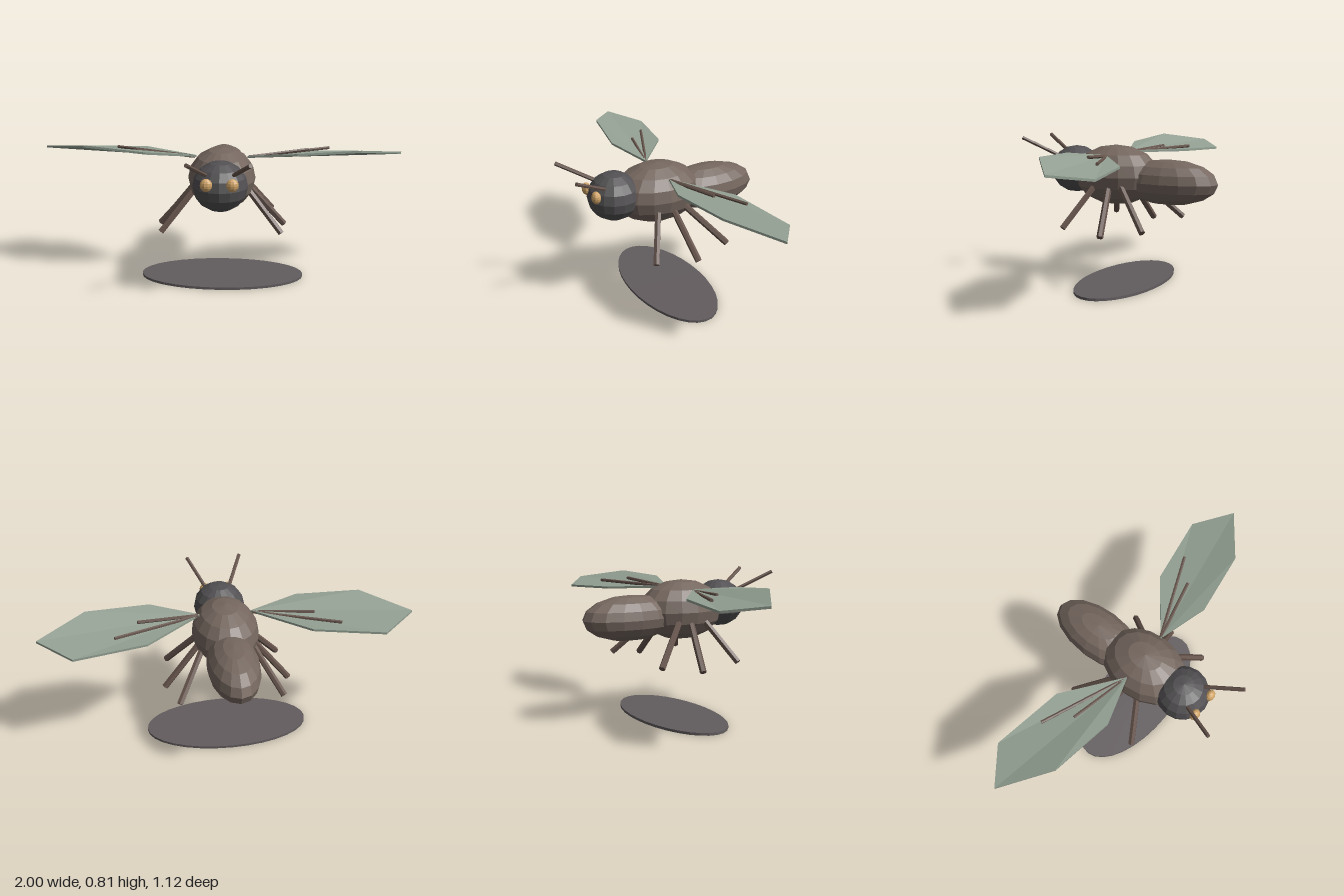
import * as THREE from 'three';

const paint = (color) => new THREE.MeshStandardMaterial({ color, flatShading: true });

export function createModel() {
  const model = new THREE.Group();
  const brown = paint(0x75675f), dark = paint(0x525052), limb = paint(0x66544c);
  const amber = paint(0xd0a468), green = paint(0x93a093), slate = paint(0x625c5e);

  const add = (name, geometry, material) => {
    const mesh = new THREE.Mesh(geometry, material);
    mesh.name = name;
    model.add(mesh);
    return mesh;
  };

  // Low-poly ellipsoid
  const ellipsoid = (name, material, center, radii, w = 16, h = 8) => {
    const mesh = add(name, new THREE.SphereGeometry(1, w, h), material);
    mesh.position.set(...center);
    mesh.scale.set(...radii);
  };

  // Straight six-sided rod between two points
  const rod = (name, from, to, radius) => {
    const a = new THREE.Vector3(...from), b = new THREE.Vector3(...to);
    const dir = b.clone().sub(a);
    const mesh = add(name, new THREE.CylinderGeometry(radius, radius, dir.length(), 6), limb);
    mesh.position.copy(a).add(b).multiplyScalar(0.5);
    mesh.quaternion.setFromUnitVectors(new THREE.Vector3(0, 1, 0), dir.normalize());
  };

  // Thin slab from an outline that runs counter-clockwise seen from above
  const slab = (outline, thickness) => {
    const pos = [];
    const shift = (p, s) => [p[0], p[1] + s * thickness / 2, p[2]];
    const top = outline.map((p) => shift(p, 1)), low = outline.map((p) => shift(p, -1));
    const tri = (a, b, c) => pos.push(...a, ...b, ...c);
    const n = outline.length;
    for (let i = 0; i < n; i++) {
      const j = (i + 1) % n;
      tri(low[i], low[j], top[j]);
      tri(low[i], top[j], top[i]);
      if (i > 0 && j > 0) {
        tri(top[0], top[i], top[j]);
        tri(low[0], low[j], low[i]);
      }
    }
    const geometry = new THREE.BufferGeometry();
    geometry.setAttribute('position', new THREE.Float32BufferAttribute(pos, 3));
    geometry.computeVertexNormals();
    return geometry;
  };

  // Body
  ellipsoid('thorax', brown, [0, 0.603, 0.037], [0.185, 0.167, 0.25]);
  ellipsoid('abdomen', brown, [0, 0.577, -0.28], [0.14, 0.124, 0.282]);
  ellipsoid('head', dark, [0, 0.625, 0.29], [0.145, 0.133, 0.145]);

  // Wing plan (x, z) from the root round the front edge; heights differ per side
  const plan = [[0.14, 0.03], [0.405, 0.118], [0.75, 0.07], [1.0, -0.115], [0.815, -0.265], [0.435, -0.2]];
  const heights = {
    left: [0.717, 0.75, 0.76, 0.712, 0.68, 0.697],
    right: [0.72, 0.752, 0.778, 0.733, 0.7, 0.713],
  };
  const veinHeights = { left: [0.728, 0.745], right: [0.725, 0.732] };

  for (const [side, s] of [['left', 1], ['right', -1]]) {
    ellipsoid(side + 'Eye', amber, [s * 0.066, 0.664, 0.418], [0.032, 0.034, 0.025], 10, 8);
    rod(side + 'Antenna', [s * 0.05, 0.68, 0.325], [s * 0.155, 0.802, 0.555], 0.011);

    // Legs: hip and foot
    const legs = {
      FrontLeg: [[0.13, 0.57, 0.09], [0.325, 0.338, 0.2]],
      MiddleLeg: [[0.13, 0.57, 0.015], [0.35, 0.312, -0.04]],
      RearLeg: [[0.13, 0.57, -0.045], [0.285, 0.342, -0.252]],
    };
    for (const [name, [hip, foot]] of Object.entries(legs)) {
      rod(side + name, [s * hip[0], hip[1], hip[2]], [s * foot[0], foot[1], foot[2]], 0.018);
    }

    // Wing and its two veins
    const outline = plan.map(([x, z], i) => [s * x, heights[side][i], z]);
    if (s < 0) outline.push(...outline.splice(1).reverse());
    add(side + 'Wing', slab(outline, 0.012), green);
    const [rear, front] = veinHeights[side];
    rod(side + 'RearVein', [s * 0.15, 0.717, 0.025], [s * 0.6, rear, -0.16], 0.009);
    rod(side + 'FrontVein', [s * 0.15, 0.717, 0.028], [s * 0.477, front, -0.045], 0.009);
  }

  // Flat oval base below the body
  const base = add('base', new THREE.CylinderGeometry(1, 1, 0.014, 32), slate);
  base.scale.set(0.463, 1, 0.223);
  base.position.set(0, 0.007, -0.024);

  return model;
}
